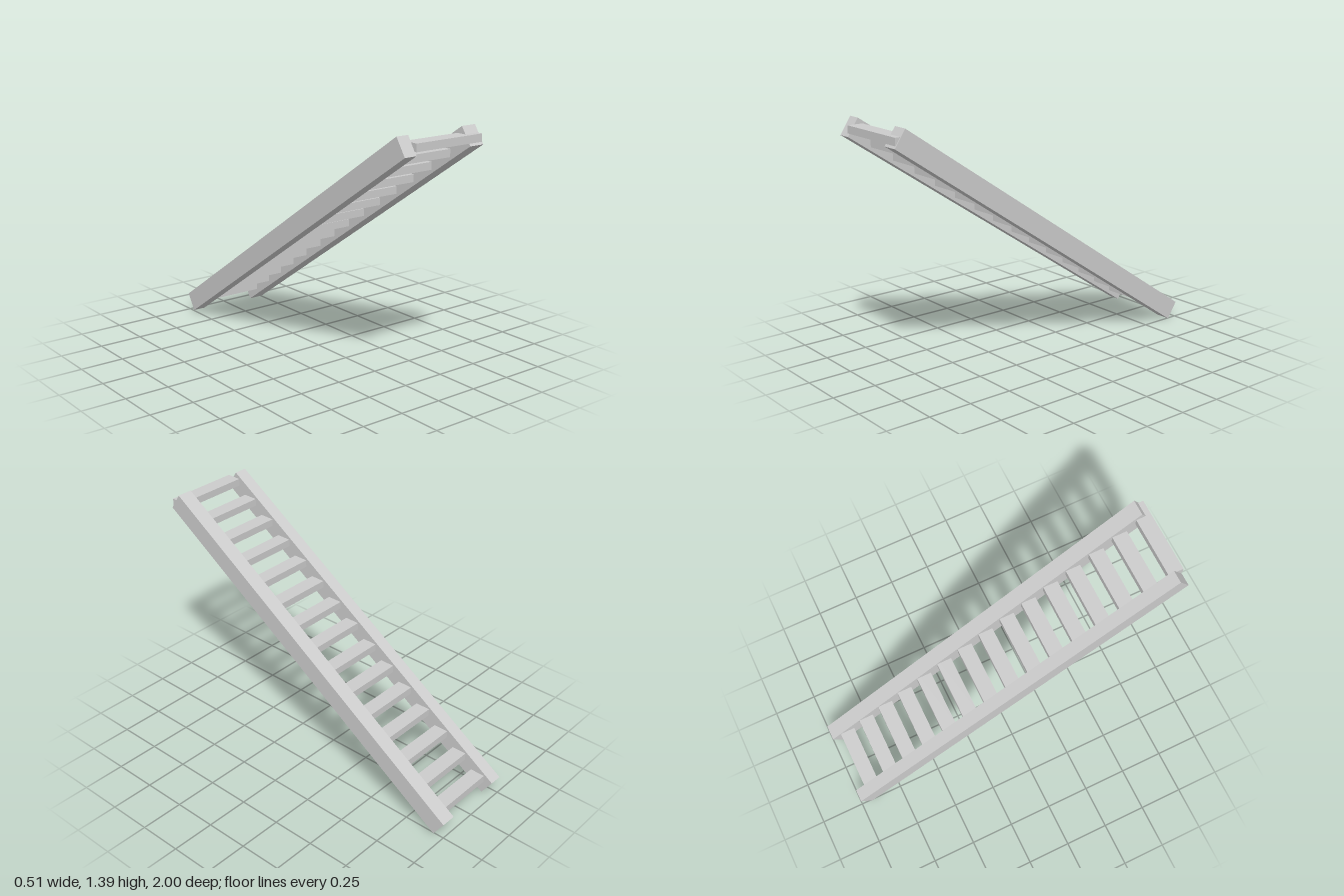
import * as THREE from 'three';

const material = new THREE.MeshStandardMaterial({ color: 0xcccccc, flatShading: true });

function box(name, w, h, d, x, y, z) {
  const mesh = new THREE.Mesh(new THREE.BoxGeometry(w, h, d), material);
  mesh.name = name;
  mesh.position.set(x, y, z);
  return mesh;
}

// Sloping side beam whose centre line runs from (z0, y0) up to (z1, y1)
function rail(name, x0, x1, z0, y0, z1, y1) {
  const length = Math.hypot(z1 - z0, y1 - y0);
  const mesh = box(name, x1 - x0, 0.112, length, (x0 + x1) / 2, (y0 + y1) / 2, (z0 + z1) / 2);
  mesh.rotation.x = -Math.atan2(y1 - y0, z1 - z0);
  return mesh;
}

export function createModel() {
  const model = new THREE.Group();
  model.name = 'staircase';

  // Side beams, very slightly out of line with each other
  model.add(rail('leftRail', 0.166, 0.256, -0.969, 0.05, 0.967, 1.348));
  model.add(rail('rightRail', -0.259, -0.185, -0.969, 0.06, 0.962, 1.342));

  // Level treads, set into the left beam and butted against the right one
  const steps = new THREE.Group();
  steps.name = 'steps';
  const count = 15;
  for (let i = 0; i < count; i++) {
    const t = i / (count - 1);
    const y = THREE.MathUtils.lerp(0.109, 1.335, t);
    const z = THREE.MathUtils.lerp(-0.901, 0.949, t);
    steps.add(box(`step${i + 1}`, 0.437, 0.042, 0.087, 0.0325, y, z));
  }
  model.add(steps);
  return model;
}
